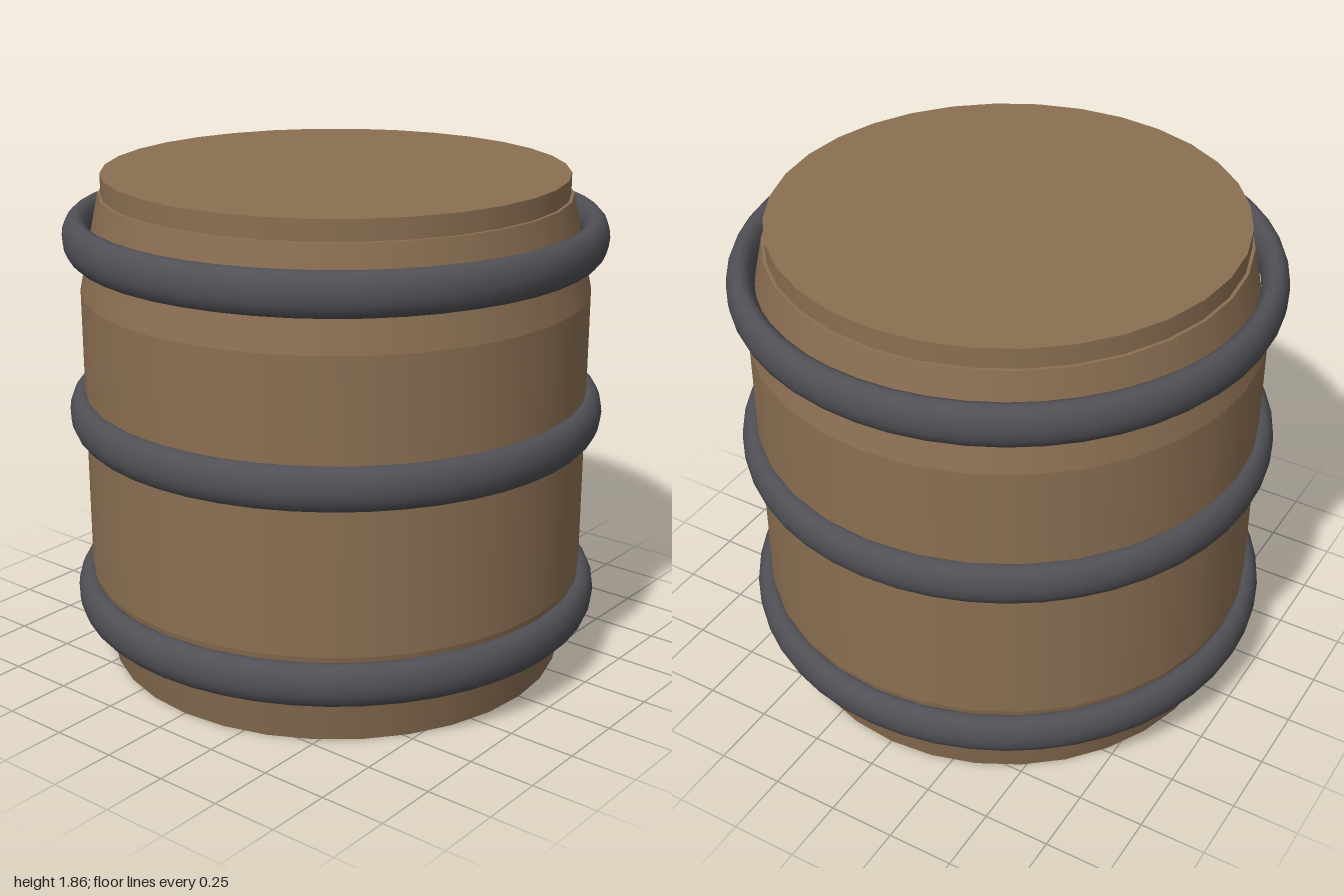
import * as THREE from 'three';

const SIDES = 32;

export function createModel() {
  const barrel = new THREE.Group();
  barrel.name = 'barrel';

  const wood = new THREE.MeshStandardMaterial({ color: 0x8b6f52 });
  wood.name = 'brown wood';
  const iron = new THREE.MeshStandardMaterial({ color: 0x505056 });
  iron.name = 'dark iron';

  const add = (name, geometry, material, y) => {
    const mesh = new THREE.Mesh(geometry, material);
    mesh.name = name;
    mesh.position.y = y;
    barrel.add(mesh);
  };

  // Stacked wooden sections: name, bottom radius, top radius, bottom y, top y
  const sections = [
    ['lowerStaves', 0.867, 0.942, 0, 0.355],
    ['middleStaves', 0.942, 0.942, 0.355, 1.43],
    ['upperStaves', 0.942, 0.867, 1.43, 1.785],
    ['lid', 0.855, 0.855, 1.785, 1.86],
  ];
  for (const [name, bottom, top, y0, y1] of sections) {
    add(name, new THREE.CylinderGeometry(top, bottom, y1 - y0, SIDES), wood, (y0 + y1) / 2);
  }

  // Three hoops with a tall oval section
  const hoops = [['lowerHoop', 0.258], ['middleHoop', 0.975], ['upperHoop', 1.637]];
  for (const [name, y] of hoops) {
    const ring = new THREE.TorusGeometry(0.95, 0.05, 16, 48);
    ring.rotateX(Math.PI / 2).scale(1, 1.6, 1);
    add(name, ring, iron, y);
  }

  return barrel;
}
